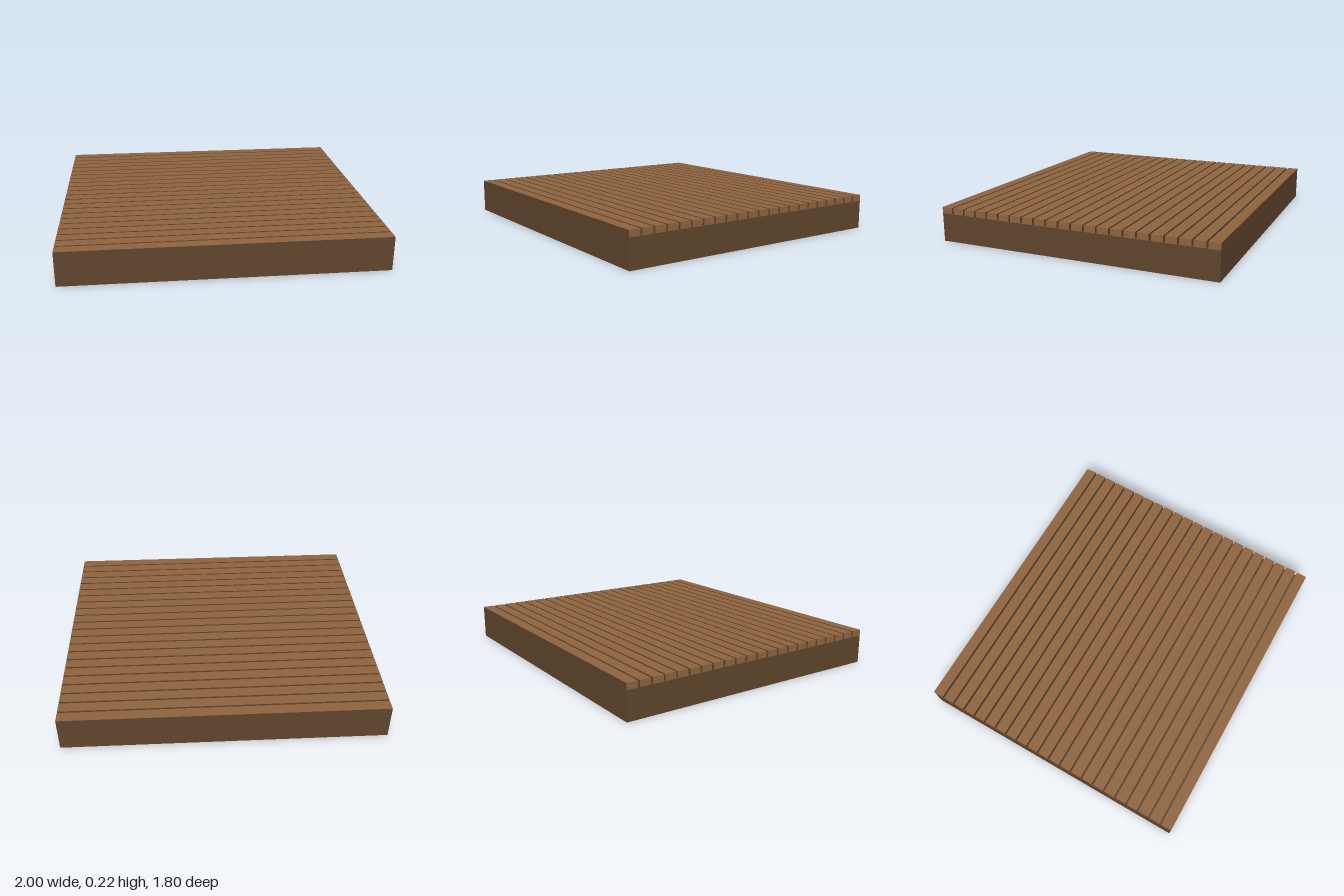
import * as THREE from 'three';

export function createModel() {
  const group = new THREE.Group();
  const plankWood = new THREE.MeshStandardMaterial({ color: 0x8f643f });
  plankWood.name = 'lightWood';
  const frameWood = new THREE.MeshStandardMaterial({ color: 0x60452d });
  frameWood.name = 'darkWood';

  const W = 2, D = 1.8, H = 0.22;
  const beam = 0.08, deck = 0.04;
  const frameH = H - deck;

  function box(name, w, h, d, x, y, z, material) {
    const mesh = new THREE.Mesh(new THREE.BoxGeometry(w, h, d), material);
    mesh.name = name;
    mesh.position.set(x, y, z);
    group.add(mesh);
  }

  // Frame: long front and back beams, side beams fitted between them
  for (const s of [1, -1]) {
    box(s > 0 ? 'frontBeam' : 'backBeam', W, frameH, beam,
      0, frameH / 2, s * (D - beam) / 2, frameWood);
    box(s > 0 ? 'leftBeam' : 'rightBeam', beam, frameH, D - 2 * beam,
      s * (W - beam) / 2, frameH / 2, 0, frameWood);
  }

  // Floor panel, slightly recessed under the frame
  box('floorPanel', W - 2 * beam, 0.04, D - 2 * beam, 0, 0.04, 0, frameWood);

  // Deck planks: light tops and ends, dark long edges
  const count = 22, gap = 0.012;
  const width = (D - gap * (count - 1)) / count;
  const plankFaces = [plankWood, plankWood, plankWood, plankWood, frameWood, frameWood];
  for (let i = 0; i < count; i++) {
    const z = -D / 2 + width / 2 + i * (width + gap);
    box('plank' + (i + 1), W, deck, width, 0, H - deck / 2, z, plankFaces);
  }

  return group;
}
